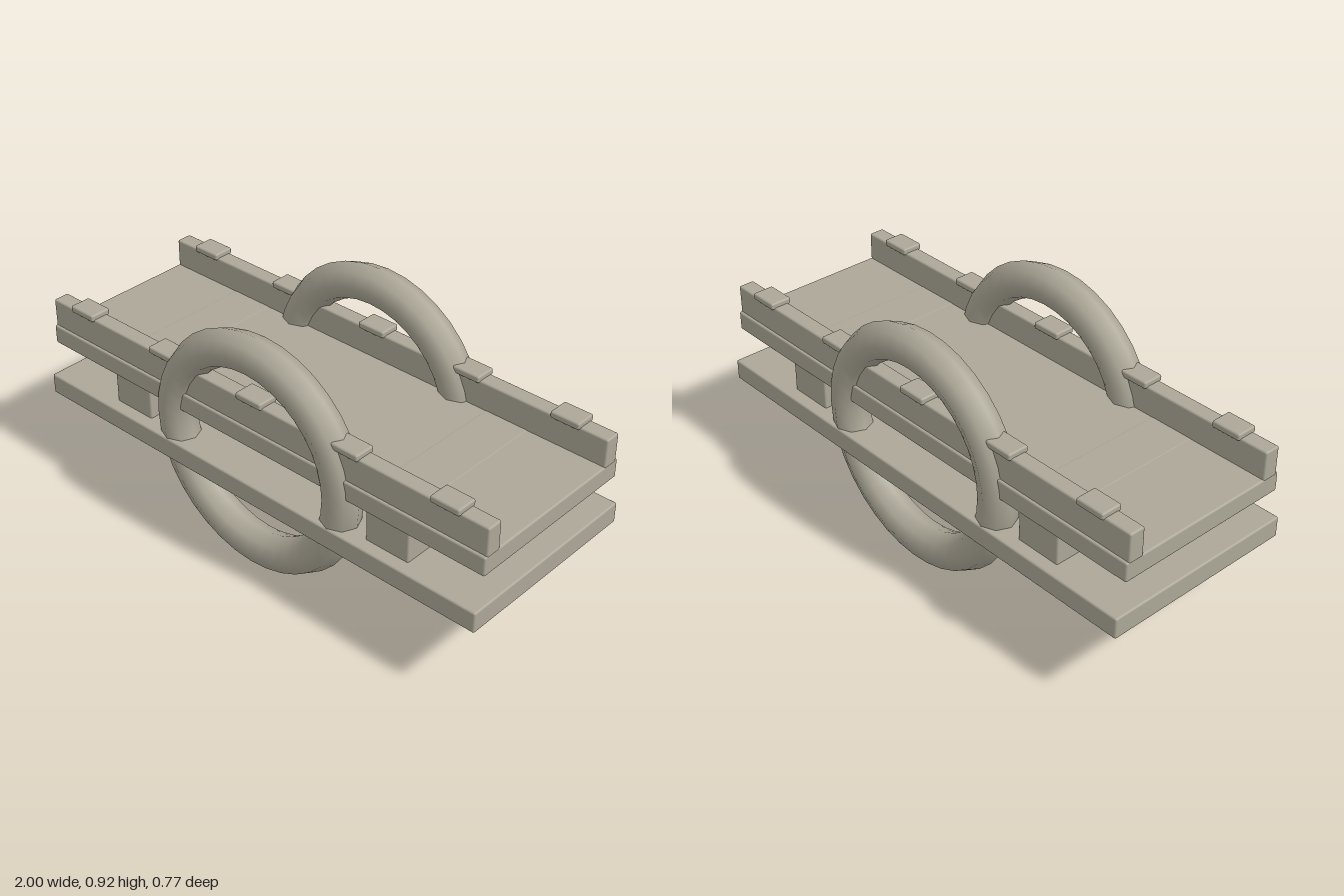
import * as THREE from 'three';
import { RoundedBoxGeometry } from 'three/addons/geometries/RoundedBoxGeometry.js';

export function createModel() {
  const model = new THREE.Group();
  model.name = 'ringBench';
  const stone = new THREE.MeshStandardMaterial({ color: 0xaca797 });
  stone.name = 'warm grey';

  const add = (name, geometry, x, y, z) => {
    const mesh = new THREE.Mesh(geometry, stone);
    mesh.name = name;
    mesh.position.set(x, y, z);
    model.add(mesh);
  };
  // softly bevelled box spanning y0 to y1
  const slab = (name, w, y0, y1, d, x = 0, z = 0, bevel = 0.007) =>
    add(name, new RoundedBoxGeometry(w, y1 - y0, d, 2, bevel), x, (y0 + y1) / 2, z);

  // two stacked boards
  slab('lowerBoard', 2, 0.3, 0.38, 0.766);
  slab('upperBoard', 2, 0.505, 0.579, 0.7);

  // spacer blocks between the boards
  for (const side of [-1, 1]) slab('spacerBlock', 0.18, 0.36, 0.58, 0.666, side * 0.6);

  for (const side of [-1, 1]) {
    const z = side * 0.309;
    // side rail with its row of caps
    slab('sideRail', 2, 0.572, 0.685, 0.062, 0, z);
    for (const x of [-0.835, -0.425, 0, 0.425, 0.835])
      slab('railCap', 0.115, 0.678, 0.704, 0.083, x, z);
    // upright ring through the boards
    add('sideRing', new THREE.TorusGeometry(0.39, 0.07, 8, 36), 0, 0.463, z);
  }
  return model;
}
